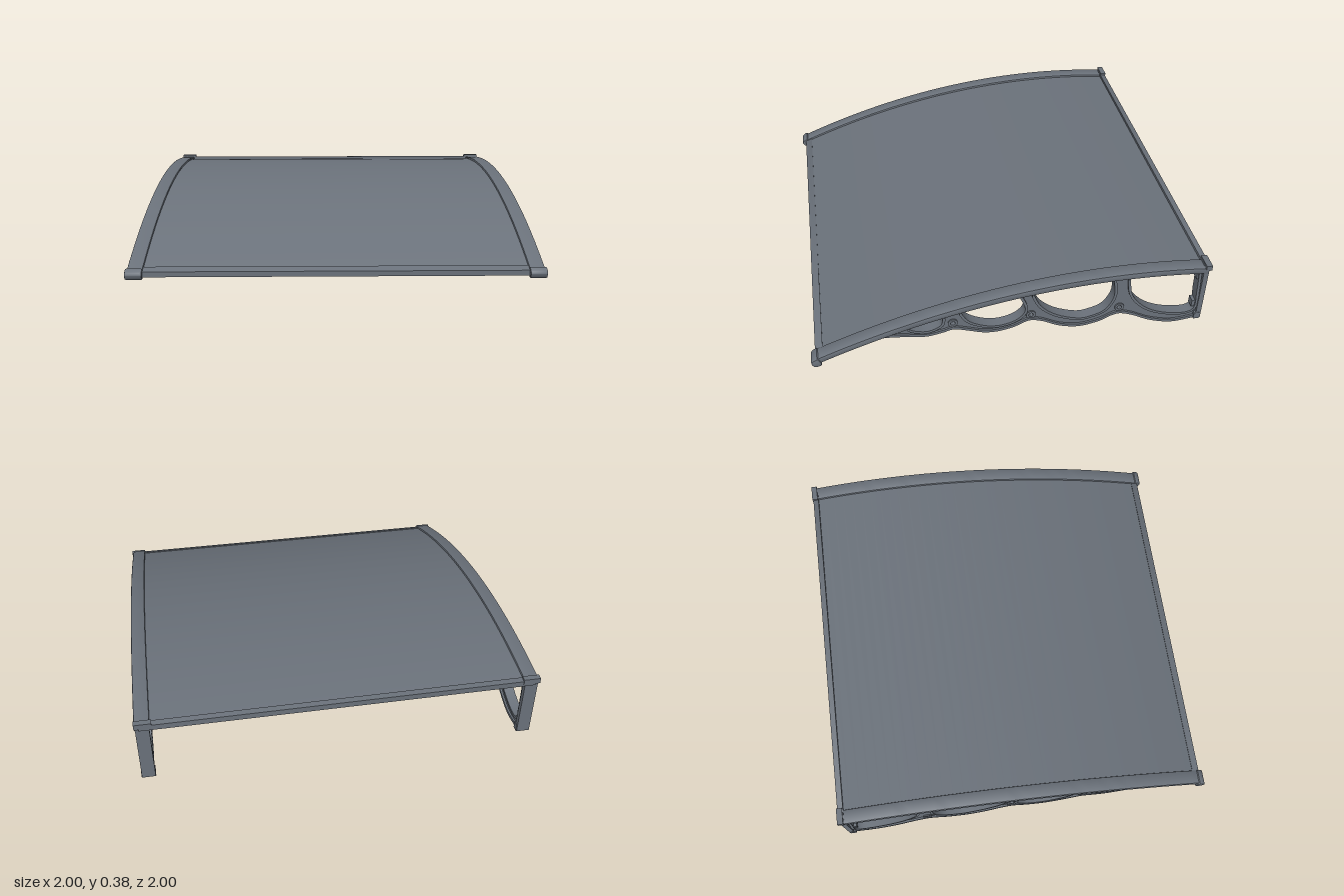
import * as THREE from 'three';
import { toCreasedNormals } from 'three/addons/utils/BufferGeometryUtils.js';

const V = (p) => new THREE.Vector2(p[0], p[1]);

// Height of the curved roof at depth z
const roofY = (z) => 0.383 - 0.1358 * (z + 0.55) ** 2;

// Points along the roof curve, dropped by a given amount
function arc(z0, z1, drop, n = 36) {
  return Array.from({ length: n + 1 }, (_, i) => {
    const z = z0 + (z1 - z0) * i / n;
    return new THREE.Vector2(z, roofY(z) - drop);
  });
}
const smooth = (pts, n = 40) => new THREE.SplineCurve(pts.map(V)).getPoints(n);

// Extrude a (z, y) outline across x, centred on x = 0
function slab(points, width, holes = [], bevel = 0) {
  const shape = new THREE.Shape(points);
  shape.holes = holes.map((h) => new THREE.Path(h));
  const geo = new THREE.ExtrudeGeometry(shape, {
    depth: width - 2 * bevel, bevelEnabled: bevel > 0, bevelSize: bevel,
    bevelThickness: bevel, bevelOffset: -bevel, bevelSegments: 2,
  });
  geo.translate(0, 0, -width / 2 + bevel);
  geo.rotateY(-Math.PI / 2);
  return toCreasedNormals(geo, 0.6);
}
// Strip following the roof
const roofStrip = (z0, z1, top, bottom, width, bevel = 0) =>
  slab([...arc(z0, z1, top), ...arc(z1, z0, bottom)], width, [], bevel);

// Scalloped lower edge, front to back
const scallop = [
  [0.68, 0.15], [0.6, 0.146], [0.52, 0.135], [0.43, 0.122], [0.35, 0.135], [0.295, 0.148],
  [0.22, 0.125], [0.15, 0.101], [0.08, 0.095], [0, 0.11], [-0.05, 0.133], [-0.09, 0.144],
  [-0.15, 0.127], [-0.24, 0.08], [-0.34, 0.058], [-0.44, 0.075], [-0.5, 0.103], [-0.55, 0.113],
  [-0.62, 0.088], [-0.72, 0.035], [-0.84, 0.004], [-0.97, 0.018],
];

// Openings: straight along the roof, then a rounded bowl
function opening(z0, z1, bowl) {
  const top = arc(z0, z1, 0.04, 10);
  const a = top[0], b = top[10];
  const rest = smooth([[b.x, b.y], ...bowl, [a.x, a.y]], 28).slice(1, -1);
  return [...top, ...rest];
}
const openings = [
  opening(0.52, 0.35, [[0.36, 0.185], [0.42, 0.157], [0.48, 0.166]]),
  opening(0.26, -0.03, [[-0.06, 0.22], [-0.02, 0.162], [0.06, 0.136], [0.14, 0.146], [0.22, 0.19]]),
  opening(-0.1, -0.5, [[-0.51, 0.24], [-0.47, 0.155], [-0.4, 0.122], [-0.33, 0.117], [-0.22, 0.16], [-0.14, 0.23]]),
  opening(-0.585, -0.94, [[-0.945, 0.2], [-0.94, 0.075], [-0.83, 0.068], [-0.7, 0.12], [-0.61, 0.22]]),
];
const bolts = [[0.3, 0.187], [-0.09, 0.178], [-0.545, 0.153]];
const circle = ([z, y], r) => new THREE.Path().absarc(z, y, r, 0, Math.PI * 2).getPoints(20).slice(0, -1);

// Offset an outline outwards (negative: inwards)
function offset(pts, d) {
  const n = pts.length;
  const sign = THREE.ShapeUtils.isClockWise(pts) ? -1 : 1;
  return pts.map((p, i) => {
    const t = pts[(i + 1) % n].clone().sub(pts[(i + n - 1) % n]).normalize();
    return new THREE.Vector2(p.x + sign * t.y * d, p.y - sign * t.x * d);
  });
}

export function createModel() {
  const model = new THREE.Group();
  model.name = 'doorAwning';
  const grey = new THREE.MeshStandardMaterial({ color: 0x6b727b });
  grey.name = 'slateGrey';

  const add = (parent, name, geo, x = 0, y = 0, z = 0) => {
    const mesh = new THREE.Mesh(geo, grey);
    mesh.name = name;
    mesh.position.set(x, y, z);
    parent.add(mesh);
    return mesh;
  };
  const box = (w, h, d) => new THREE.BoxGeometry(w, h, d);

  // Raised rims around openings and bolt bosses
  const addRims = (parent, holes, bossPoints) => {
    holes.forEach((h) => add(parent, 'openingRim', slab(offset(h, 0.014), 0.054, [h])));
    bossPoints.forEach((b) => add(parent, 'boltBoss', slab(circle(b, 0.024), 0.05, [circle(b, 0.012)])));
  };

  // Roof sheet with its front lip, back bar and rear cross rib
  add(model, 'roofSheet', roofStrip(0.97, -0.985, 0.012, 0.024, 1.88));
  add(model, 'frontLip', roofStrip(0.978, 0.94, 0.006, 0.032, 1.88, 0.004));
  add(model, 'backBar', roofStrip(-0.965, -0.995, -0.004, 0.026, 1.94, 0.003));
  add(model, 'rearCrossRib', roofStrip(-0.61, -0.625, 0.02, 0.032, 1.84));

  // Side brackets
  const sideOutline = [...arc(0.68, -0.97, 0.02), ...smooth(scallop, 120).reverse()];
  const lowerEdge = smooth(scallop, 120);
  const lowerBand = [...lowerEdge, ...lowerEdge.map((p) => new THREE.Vector2(p.x, p.y + 0.016)).reverse()];
  for (const side of [-1, 1]) {
    const bracket = new THREE.Group();
    bracket.name = side > 0 ? 'leftBracket' : 'rightBracket';
    bracket.position.x = side * 0.953;
    add(bracket, 'topRail', roofStrip(0.98, -0.985, 0, 0.036, 0.074, 0.006));
    add(bracket, 'bracketWeb', slab(sideOutline, 0.036, [...openings, ...bolts.map((b) => circle(b, 0.012))]));
    add(bracket, 'scallopedEdge', slab(lowerBand, 0.056));
    addRims(bracket, openings, bolts);

    // Wall post with lugs and cap
    add(bracket, 'wallPost', box(0.066, 0.345, 0.026), 0, 0.187, -0.974);
    add(bracket, 'postFoot', box(0.07, 0.04, 0.03), 0, 0.032, -0.966);
    add(bracket, 'postCap', box(0.084, 0.03, 0.03), -side * 0.004, 0.358, -0.984);
    for (const y of [0.3, 0.11]) add(bracket, 'postLug', box(0.04, 0.04, 0.03), 0, y, -0.948);

    // Rounded cap on the front end of the rail
    const cap = add(bracket, 'frontCap', slab(smooth([
      [0.018, -0.012], [0.02, 0.01], [0.006, 0.022], [-0.02, 0.024],
      [-0.025, 0], [-0.02, -0.022], [0.006, -0.022], [0.018, -0.012]], 24).slice(0, -1), 0.082, [], 0.006),
    side * 0.004, 0.044, 0.977);
    cap.rotation.x = 0.4;
    model.add(bracket);
  }

  // Short middle bracket beneath the sheet
  const middle = new THREE.Group();
  middle.name = 'middleBracket';
  add(middle, 'middleRail', roofStrip(0.95, -0.37, 0.018, 0.04, 0.03));
  const middleLower = smooth([[0.43, 0.215], [0.37, 0.165], [0.33, 0.146], ...scallop.slice(5, 12),
    [-0.13, 0.15], [-0.15, 0.2], [-0.2, 0.3]], 60);
  add(middle, 'middleWeb', slab([...arc(0.42, -0.2, 0.02), ...middleLower.slice().reverse()], 0.036,
    [openings[1], circle(bolts[0], 0.012), circle(bolts[1], 0.012)]));
  const edge = smooth(scallop.slice(4, 13), 50);
  add(middle, 'middleScallopedEdge',
    slab([...edge, ...edge.map((p) => new THREE.Vector2(p.x, p.y + 0.016)).reverse()], 0.056));
  addRims(middle, [openings[1]], bolts.slice(0, 2));
  model.add(middle);
  return model;
}
